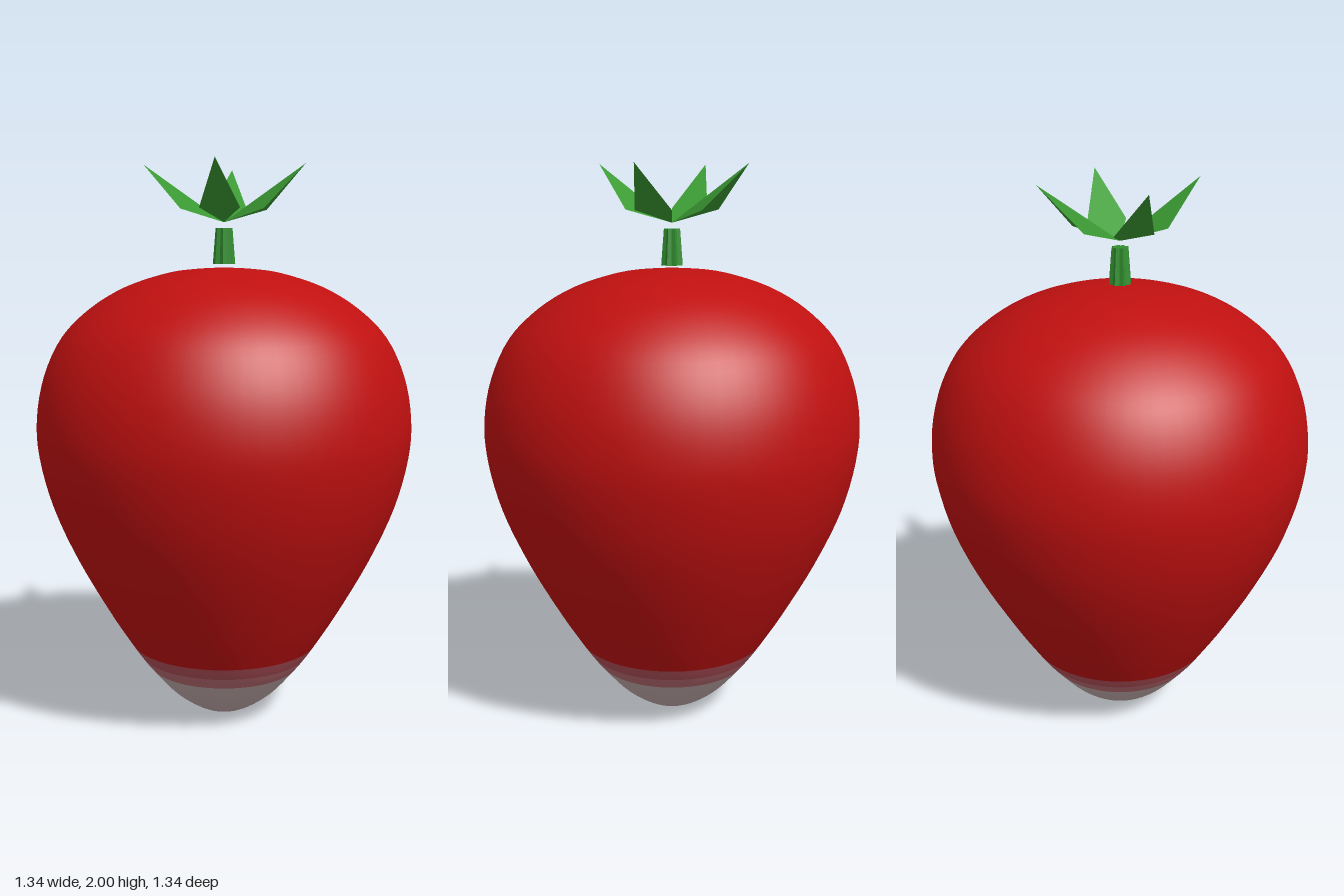
import * as THREE from 'three';

const mat = (name, color, side = THREE.FrontSide) => {
  const m = new THREE.MeshStandardMaterial({ color, side });
  m.name = name;
  return m;
};

// Fruit outline from the tip to the crown: radius, height
const profile = new THREE.SplineCurve([
  [0, 0], [0.09, 0.022], [0.19, 0.09], [0.275, 0.185], [0.31, 0.23], [0.342, 0.277],
  [0.425, 0.41], [0.535, 0.61], [0.617, 0.8], [0.662, 0.98], [0.668, 1.12], [0.64, 1.265],
  [0.575, 1.4], [0.475, 1.5], [0.35, 1.575], [0.2, 1.624], [0.09, 1.639], [0, 1.643],
].map(([x, y]) => new THREE.Vector2(x, y)));

// Turned section of the fruit between two outline points
function fruitSection(name, from, to, material) {
  const last = profile.points.length - 1;
  const steps = (to - from) * 4;
  const points = [];
  for (let i = 0; i <= steps; i++) {
    const p = profile.getPoint((from + (i / steps) * (to - from)) / last);
    p.x = Math.max(p.x, 0);
    points.push(p);
  }
  const mesh = new THREE.Mesh(new THREE.LatheGeometry(points, 64), material);
  mesh.name = name;
  return mesh;
}

// Short fluted stem: every second rib is pulled inwards
function fluteStem(material) {
  const sides = 16;
  const g = new THREE.CylinderGeometry(0.03, 0.04, 0.125, sides);
  const pos = g.attributes.position;
  for (let i = 0; i < pos.count; i++) {
    const rib = Math.round((Math.atan2(pos.getX(i), pos.getZ(i)) / (2 * Math.PI)) * sides);
    const k = rib % 2 ? 0.8 : 1;
    pos.setXYZ(i, pos.getX(i) * k, pos.getY(i), pos.getZ(i) * k);
  }
  const flat = g.toNonIndexed();
  flat.computeVertexNormals();
  const mesh = new THREE.Mesh(flat, material);
  mesh.position.y = 1.717;
  mesh.name = 'stem';
  return mesh;
}

// Diamond leaf pointing along +x, folded down from a straight midrib
function leafGeometry() {
  const g = new THREE.BufferGeometry();
  g.setAttribute('position', new THREE.Float32BufferAttribute([
    0, 0, 0, 0.145, 0.045, 0.07, 0.285, 0.2, 0, 0.145, 0.045, -0.07,
  ], 3));
  // One shared direction gives the blade an even tone
  const n = [-0.57, 0.82, 0];
  g.setAttribute('normal', new THREE.Float32BufferAttribute([...n, ...n, ...n, ...n], 3));
  g.setIndex([0, 1, 2, 0, 2, 3]);
  return g;
}

export function createModel() {
  const group = new THREE.Group();
  group.name = 'strawberry';

  const red = mat('fruit red', 0xc01010);
  const rose = mat('rose', 0xb05058);
  const pink = mat('dusky pink', 0xb86a70);
  const pale = mat('pale tip', 0xc0a8a8);
  const stemGreen = mat('stem green', 0x329030);
  const leafGreen = mat('leaf green', 0x3c9c34, THREE.DoubleSide);

  // Fruit with pale tip and two colour bands
  group.add(
    fruitSection('tip', 0, 3, pale),
    fruitSection('lowerBand', 3, 4, pink),
    fruitSection('upperBand', 4, 5, rose),
    fruitSection('fruitBody', 5, 17, red),
    fluteStem(stemGreen),
  );

  // Four leaves around the stem
  const blade = leafGeometry();
  for (let i = 0; i < 4; i++) {
    const leaf = new THREE.Mesh(blade, leafGreen);
    leaf.name = 'leaf' + (i + 1);
    leaf.position.y = 1.8;
    leaf.rotation.y = (i * Math.PI) / 2;
    group.add(leaf);
  }
  return group;
}
